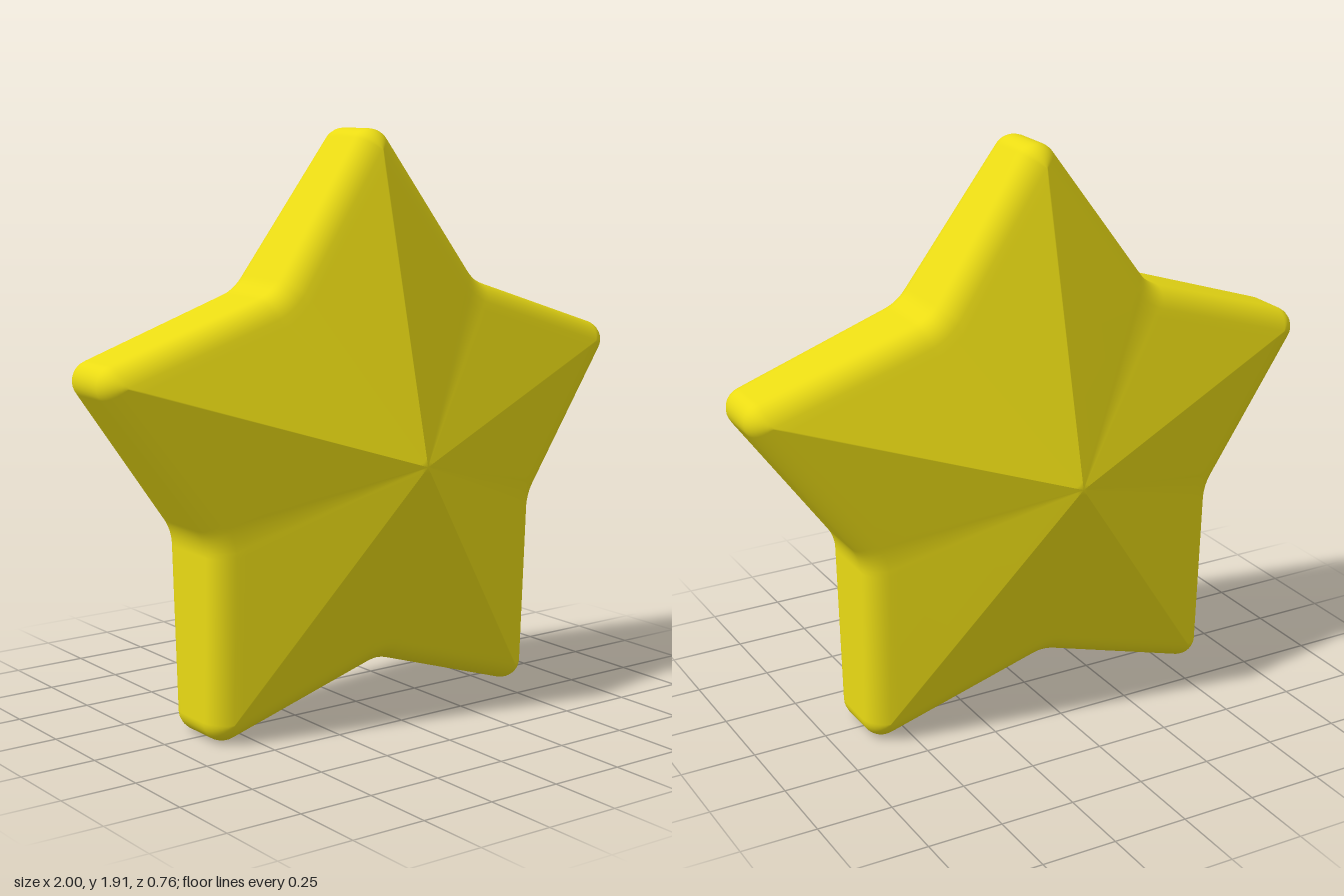
import * as THREE from 'three';

const CENTRE_Y = 0.862, APEX_Z = 0.382;
const TIP_DIST = 0.983, TIP_R = 0.067;      // convex rounding of the five points
const NOTCH_DIST = 0.678, NOTCH_R = 0.15;   // concave rounding between the points
const BEVEL_W = 0.064, BEVEL_H = 0.08;
const RAD = Math.PI / 180;

// Outline columns: arc centre, signed arc radius, outward normal and rim depth
function outlineColumns() {
  const cols = [];
  const arc = (axis, dist, radius, from, to, steps, rimZ) => {
    for (let i = 0; i <= steps; i++) {
      const a = (axis + from + (to - from) * i / steps) * RAD;
      cols.push({
        cx: dist * Math.cos(axis * RAD), cy: dist * Math.sin(axis * RAD),
        nx: Math.cos(a), ny: Math.sin(a), radius, rimZ,
      });
    }
  };
  for (let k = 0; k < 5; k++) {
    const axis = 90 + 72 * k;
    arc(axis, TIP_DIST, TIP_R, -54, 54, 10, 0.145);
    arc(axis + 36, NOTCH_DIST + NOTCH_R / Math.cos(18 * RAD), -NOTCH_R, 18, -18, 6, 0.17);
  }
  return cols;
}

// Front half of the section, from near the apex out to the side wall
function frontRings() {
  const rings = [0.03, 0.35, 0.7, 0.95].map((scale) => ({ scale, inset: BEVEL_W, drop: 0 }));
  const s0 = Math.sin(25 * RAD), c0 = Math.cos(25 * RAD);
  for (let i = 0; i <= 6; i++) {
    const a = (25 + 65 * i / 6) * RAD;
    rings.push({
      scale: 1,
      inset: BEVEL_W * (1 - (Math.sin(a) - s0) / (1 - s0)),
      drop: BEVEL_H * (1 - Math.cos(a) / c0),
    });
  }
  return rings;
}

function starGeometry() {
  const cols = outlineColumns(), n = cols.length;
  const front = frontRings().map((r) => ({ ...r, side: 1 }));
  const rings = [...front, ...front.map((r) => ({ ...r, side: -1 })).reverse()];
  const pos = [], index = [];

  for (const { scale, inset, drop, side } of rings) {
    for (const c of cols) {
      const r = c.radius - inset;
      const z = THREE.MathUtils.lerp(APEX_Z, c.rimZ, scale) - drop;
      pos.push((c.cx + r * c.nx) * scale, CENTRE_Y + (c.cy + r * c.ny) * scale, side * z);
    }
  }
  const frontApex = pos.length / 3, backApex = frontApex + 1;
  pos.push(0, CENTRE_Y, APEX_Z, 0, CENTRE_Y, -APEX_Z);

  const last = (rings.length - 1) * n;
  for (let j = 0; j < n; j++) {
    const k = (j + 1) % n;
    index.push(frontApex, j, k, backApex, last + k, last + j);
    for (let i = 0; i < rings.length - 1; i++) {
      const a = i * n + j, b = i * n + k;
      index.push(a, a + n, b, b, a + n, b + n);
    }
  }
  const geo = new THREE.BufferGeometry();
  geo.setAttribute('position', new THREE.Float32BufferAttribute(pos, 3));
  geo.setIndex(index);
  geo.computeVertexNormals();
  return geo;
}

export function createModel() {
  const group = new THREE.Group();
  group.name = 'star';
  const body = new THREE.Mesh(starGeometry(), new THREE.MeshStandardMaterial({ color: 0xeadb14 }));
  body.name = 'starBody';
  group.add(body);
  return group;
}
